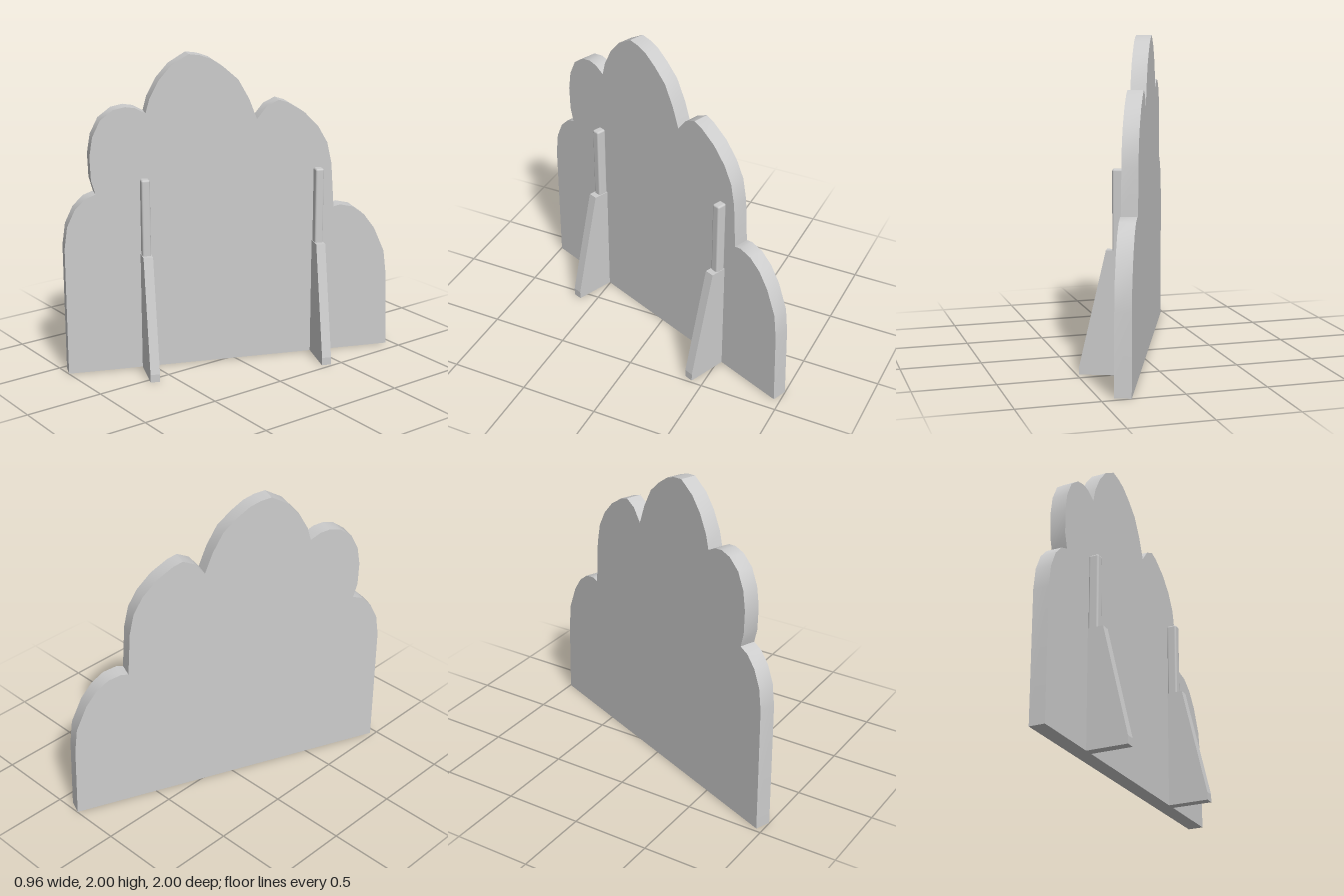
import * as THREE from 'three';
import { toCreasedNormals } from 'three/addons/utils/BufferGeometryUtils.js';
import { RoundedBoxGeometry } from 'three/addons/geometries/RoundedBoxGeometry.js';

const lightGrey = new THREE.MeshStandardMaterial({ color: 0xcccccc });
lightGrey.name = 'lightGrey';

const THICKNESS = 0.1;

// Outline of the bush: distance along the panel, height
const OUTLINE = [
  [0, 0], [0, 0.825], [0.02, 0.965], [0.07, 1.07], [0.135, 1.135], [0.2, 1.16],
  [0.175, 1.25], [0.17, 1.4], [0.19, 1.52], [0.24, 1.62], [0.32, 1.68], [0.395, 1.695], [0.455, 1.685], [0.52, 1.65],
  [0.545, 1.74], [0.605, 1.85], [0.68, 1.935], [0.79, 2], [0.86, 1.99], [0.93, 1.965], [1.01, 1.91], [1.1, 1.83],
  [1.17, 1.705], [1.22, 1.575],
  [1.285, 1.655], [1.36, 1.69], [1.42, 1.67], [1.53, 1.6], [1.62, 1.505], [1.68, 1.4], [1.71, 1.265], [1.73, 0.975],
  [1.775, 0.985], [1.86, 0.965], [1.94, 0.905], [2.01, 0.81], [2.08, 0.65], [2.1, 0.49], [2.115, 0],
];

function extrude(points, depth) {
  const shape = new THREE.Shape(points.map(([x, y]) => new THREE.Vector2(x, y)));
  return new THREE.ExtrudeGeometry(shape, { depth, bevelEnabled: false });
}

function add(parent, name, geometry) {
  const mesh = new THREE.Mesh(geometry, lightGrey);
  mesh.name = name;
  parent.add(mesh);
  return mesh;
}

// Upright post with a sloping foot that props the panel
function createSupport(name) {
  const support = new THREE.Group();
  support.name = name;
  const width = 0.06;
  const foot = extrude([[0, 0], [0.263, 0], [0.263, 0.05], [0.1, 0.76], [0, 0.76]], width);
  foot.translate(0, 0, -width / 2);
  foot.rotateY(-Math.PI / 2);
  add(support, 'supportFoot', foot);

  const post = new RoundedBoxGeometry(0.054, 1.235, 0.065, 2, 0.012);
  post.translate(0, 0.6275, 0.03);
  add(support, 'supportPost', post);
  return support;
}

export function createModel() {
  const model = new THREE.Group();
  model.name = 'bushCutout';

  // Everything is laid out along the panel, then turned into place
  const stand = new THREE.Group();
  stand.name = 'turnedStand';
  stand.position.set(-0.383, 0, 0.998);
  stand.rotation.y = 1.183;
  model.add(stand);

  const panel = extrude(OUTLINE, THICKNESS);
  panel.translate(0, 0, -THICKNESS);
  add(stand, 'bushPanel', toCreasedNormals(panel, 0.6));

  [['nearSupport', 0.502], ['farSupport', 1.617]].forEach(([name, along]) => {
    const support = createSupport(name);
    support.position.x = along;
    stand.add(support);
  });

  return model;
}
